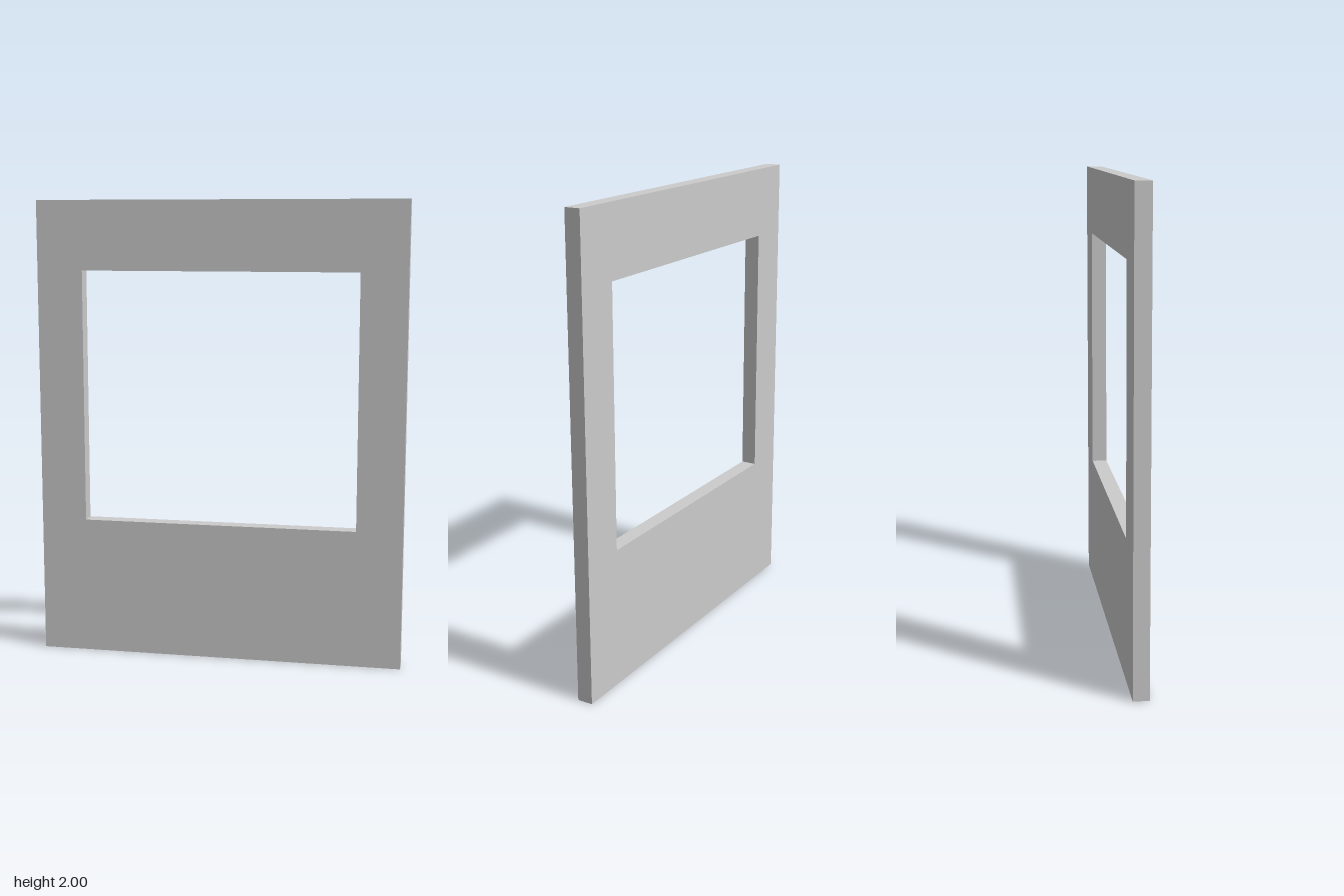
import * as THREE from 'three';

const WIDTH = 1.6, HEIGHT = 2, DEPTH = 0.067;
const OPENING = { x0: -0.6, x1: 0.6, y0: 0.6, y1: 1.7 };

// Closed rectangular path through two opposite corners
function rectangle(path, x0, y0, x1, y1) {
  path.moveTo(x0, y0);
  path.lineTo(x1, y0);
  path.lineTo(x1, y1);
  path.lineTo(x0, y1);
  path.closePath();
  return path;
}

export function createModel() {
  const group = new THREE.Group();
  group.name = 'wallPanel';

  // Flat panel with a window opening cut through it
  const outline = rectangle(new THREE.Shape(), -WIDTH / 2, 0, WIDTH / 2, HEIGHT);
  outline.holes.push(rectangle(new THREE.Path(), OPENING.x0, OPENING.y0, OPENING.x1, OPENING.y1));

  const geometry = new THREE.ExtrudeGeometry(outline, { depth: DEPTH, bevelEnabled: false });
  geometry.translate(0, 0, -DEPTH / 2);

  const panel = new THREE.Mesh(geometry, new THREE.MeshStandardMaterial({ color: 0xcccccc, flatShading: true }));
  panel.name = 'panelWithWindowOpening';
  group.add(panel);

  return group;
}
